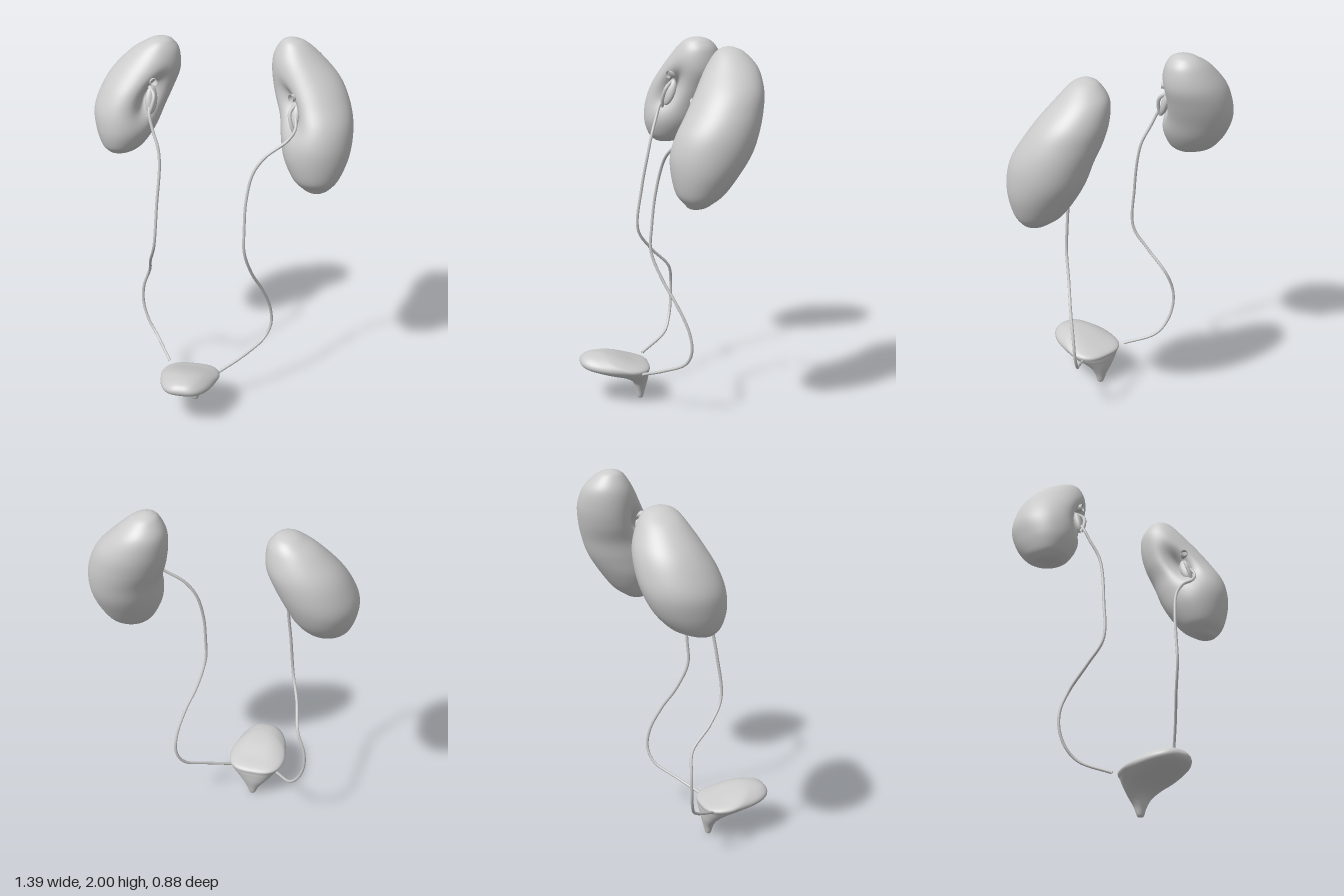
import * as THREE from 'three';

const material = new THREE.MeshStandardMaterial({ color: 0xcccccc });
const thin = new THREE.MeshStandardMaterial({ color: 0xcccccc, side: THREE.DoubleSide });

function addMesh(parent, name, geometry, mat = material) {
  const mesh = new THREE.Mesh(geometry, mat);
  mesh.name = name;
  parent.add(mesh);
  return mesh;
}

// Catmull-Rom value of column k at fractional row t
function sample(rows, t, k) {
  const last = rows.length - 1;
  const i = Math.min(Math.floor(t), last - 1), f = t - i;
  const at = (n) => rows[Math.max(0, Math.min(last, n))][k];
  const a = at(i - 1), b = at(i), c = at(i + 1), d = at(i + 2);
  return b + 0.5 * f * (c - a + f * (2 * a - 5 * b + 4 * c - d + f * (3 * (b - c) + d - a)));
}

// Smooth closed body through horizontal slices [y, x0, x1, z0, z1], bottom to top;
// shape(angle, y) returns the unit outline point [u, v]
function loft(slices, shape, steps = 6, sides = 64) {
  const rings = (slices.length - 1) * steps;
  const positions = [], index = [];
  for (let i = 0; i <= rings; i++) {
    const [y, x0, x1, z0, z1] = [0, 1, 2, 3, 4].map((k) => sample(slices, i / steps, k));
    for (let j = 0; j < sides; j++) {
      const [u, v] = shape((j / sides) * Math.PI * 2, y);
      positions.push((x0 + x1) / 2 + (u * (x1 - x0)) / 2, y, (z0 + z1) / 2 + (v * (z1 - z0)) / 2);
      if (i === rings) continue;
      const a = i * sides + j, b = i * sides + ((j + 1) % sides);
      index.push(a, a + sides, b, b, a + sides, b + sides);
    }
  }
  const geometry = new THREE.BufferGeometry();
  geometry.setAttribute('position', new THREE.Float32BufferAttribute(positions, 3));
  geometry.setIndex(index);
  geometry.computeVertexNormals();
  return geometry;
}

function tube(points, radius, segments = 120) {
  const curve = new THREE.CatmullRomCurve3(points.map((p) => new THREE.Vector3(...p)));
  return new THREE.TubeGeometry(curve, segments, radius, 10);
}

// Kidney body with a pocket pressed in on its inner front side
function kidney(slices, side, hilumY) {
  const rows = slices.map(([y, a, b, c, d]) => (side > 0 ? [y, a, b, c, d] : [y, -b, -a, c, d]));
  return loft(rows, (angle, y) => {
    const u = Math.cos(angle), v = Math.sin(angle);
    const turn = Math.acos(Math.max(-1, Math.min(1, (-side * u + v) * Math.SQRT1_2)));
    const broad = Math.exp(-((turn / 0.75) ** 2) - ((y - hilumY) / 0.15) ** 2);
    const deep = Math.exp(-((turn / 0.38) ** 2) - ((y - hilumY) / 0.09) ** 2);
    const r = 1 - 0.2 * broad - 0.36 * deep;
    return [u * r, v * r];
  }, 8, 80);
}

const leftKidney = [
  [1.22, 0.52, 0.52, -0.08, -0.08],
  [1.228, 0.475, 0.56, -0.13, -0.05],
  [1.25, 0.435, 0.595, -0.17, -0.03],
  [1.3, 0.385, 0.635, -0.235, 0.01],
  [1.4, 0.335, 0.675, -0.31, 0.035],
  [1.5, 0.31, 0.69, -0.37, 0.04],
  [1.6, 0.29, 0.685, -0.405, 0.015],
  [1.7, 0.255, 0.655, -0.43, -0.04],
  [1.8, 0.24, 0.6, -0.44, -0.1],
  [1.9, 0.245, 0.505, -0.42, -0.16],
  [1.97, 0.28, 0.425, -0.36, -0.21],
  [1.993, 0.31, 0.375, -0.315, -0.245],
  [2.0, 0.34, 0.34, -0.28, -0.28],
];

// Right kidney, written as if on the left and then mirrored
const rightKidney = [
  [1.365, 0.55, 0.55, -0.1, -0.1],
  [1.37, 0.51, 0.595, -0.15, -0.06],
  [1.385, 0.465, 0.625, -0.2, -0.035],
  [1.42, 0.42, 0.655, -0.27, -0.005],
  [1.5, 0.365, 0.685, -0.345, 0.02],
  [1.6, 0.32, 0.698, -0.395, 0.018],
  [1.7, 0.275, 0.668, -0.415, -0.01],
  [1.8, 0.242, 0.61, -0.41, -0.065],
  [1.9, 0.25, 0.51, -0.37, -0.13],
  [1.95, 0.28, 0.43, -0.33, -0.17],
  [1.97, 0.31, 0.385, -0.285, -0.21],
  [1.975, 0.345, 0.345, -0.25, -0.25],
];

const bladder = [
  [0, -0.1, -0.1, 0.108, 0.108],
  [0.002, -0.117, -0.083, 0.093, 0.123],
  [0.05, -0.138, -0.065, 0.08, 0.135],
  [0.1, -0.178, -0.035, 0.067, 0.155],
  [0.14, -0.215, 0.005, 0.062, 0.22],
  [0.17, -0.245, 0.04, 0.06, 0.33],
  [0.2, -0.268, 0.055, 0.065, 0.42],
  [0.23, -0.25, 0.035, 0.15, 0.443],
  [0.26, -0.2, -0.01, 0.235, 0.425],
  [0.275, -0.15, -0.055, 0.295, 0.385],
  [0.28, -0.1, -0.1, 0.34, 0.34],
];

const leftUreter = [
  [0.395, 1.66, -0.1], [0.405, 1.58, -0.04], [0.37, 1.525, -0.02], [0.26, 1.44, 0.02],
  [0.2, 1.35, 0.04], [0.17, 1.2, 0.065], [0.165, 1.05, 0.08], [0.167, 0.92, 0.085],
  [0.2, 0.77, 0.03], [0.25, 0.64, -0.04], [0.285, 0.5, -0.1], [0.287, 0.39, -0.115],
  [0.25, 0.31, -0.09], [0.15, 0.24, 0.01], [0.03, 0.18, 0.11],
];
const rightUreter = [
  [-0.375, 1.68, -0.11], [-0.37, 1.61, -0.05], [-0.345, 1.53, -0.02], [-0.31, 1.44, 0.01],
  [-0.3, 1.35, 0.03], [-0.31, 1.15, 0.065], [-0.325, 0.91, 0.085], [-0.365, 0.79, 0.01],
  [-0.4, 0.67, -0.1], [-0.44, 0.56, -0.12], [-0.445, 0.46, -0.12], [-0.415, 0.36, -0.105],
  [-0.36, 0.285, -0.07], [-0.25, 0.205, 0.075],
];

// Funnel and blood vessels sitting in a kidney's pocket
function addHilum(group, side, x, y, z) {
  const hilum = new THREE.Group();
  hilum.name = side > 0 ? 'leftHilum' : 'rightHilum';
  hilum.position.set(side * x, y, z);
  const pelvis = addMesh(hilum, 'renalPelvis', new THREE.SphereGeometry(1, 24, 16));
  pelvis.scale.set(0.022, 0.075, 0.035);
  pelvis.rotation.set(-0.35, side * 0.78, 0);
  addMesh(hilum, 'renalVein', tube([
    [side * 0.05, 0.1, -0.07], [side * 0.01, 0.1, -0.03], [-side * 0.02, 0.1, 0.01],
  ], 0.02, 16), thin);
  addMesh(hilum, 'renalArtery', tube([
    [side * 0.02, 0.07, -0.03], [-side * 0.02, 0.03, 0.02], [-side * 0.01, -0.03, 0.04], [side * 0.01, -0.08, 0.04],
  ], 0.01, 24), thin);
  group.add(hilum);
}

export function createModel() {
  const group = new THREE.Group();
  group.name = 'urinarySystem';

  addMesh(group, 'leftKidney', kidney(leftKidney, 1, 1.67));
  addMesh(group, 'rightKidney', kidney(rightKidney, -1, 1.69));
  addHilum(group, 1, 0.39, 1.63, -0.1);
  addHilum(group, -1, 0.37, 1.67, -0.1);

  addMesh(group, 'leftUreter', tube(leftUreter, 0.008), thin);
  addMesh(group, 'rightUreter', tube(rightUreter, 0.008), thin);

  // Bladder: squarer outline at the back, narrowing to the front, round at the neck
  const power = (c, p) => Math.sign(c) * Math.abs(c) ** p;
  addMesh(group, 'bladder', loft(bladder, (angle, y) => {
    const blend = THREE.MathUtils.smoothstep(y, 0.08, 0.2);
    const p = 1 - 0.32 * blend;
    const u = power(Math.cos(angle), p), v = power(Math.sin(angle), p);
    return [u * (1 - 0.2 * blend * Math.max(0, v + 0.3)), v];
  }));
  return group;
}
